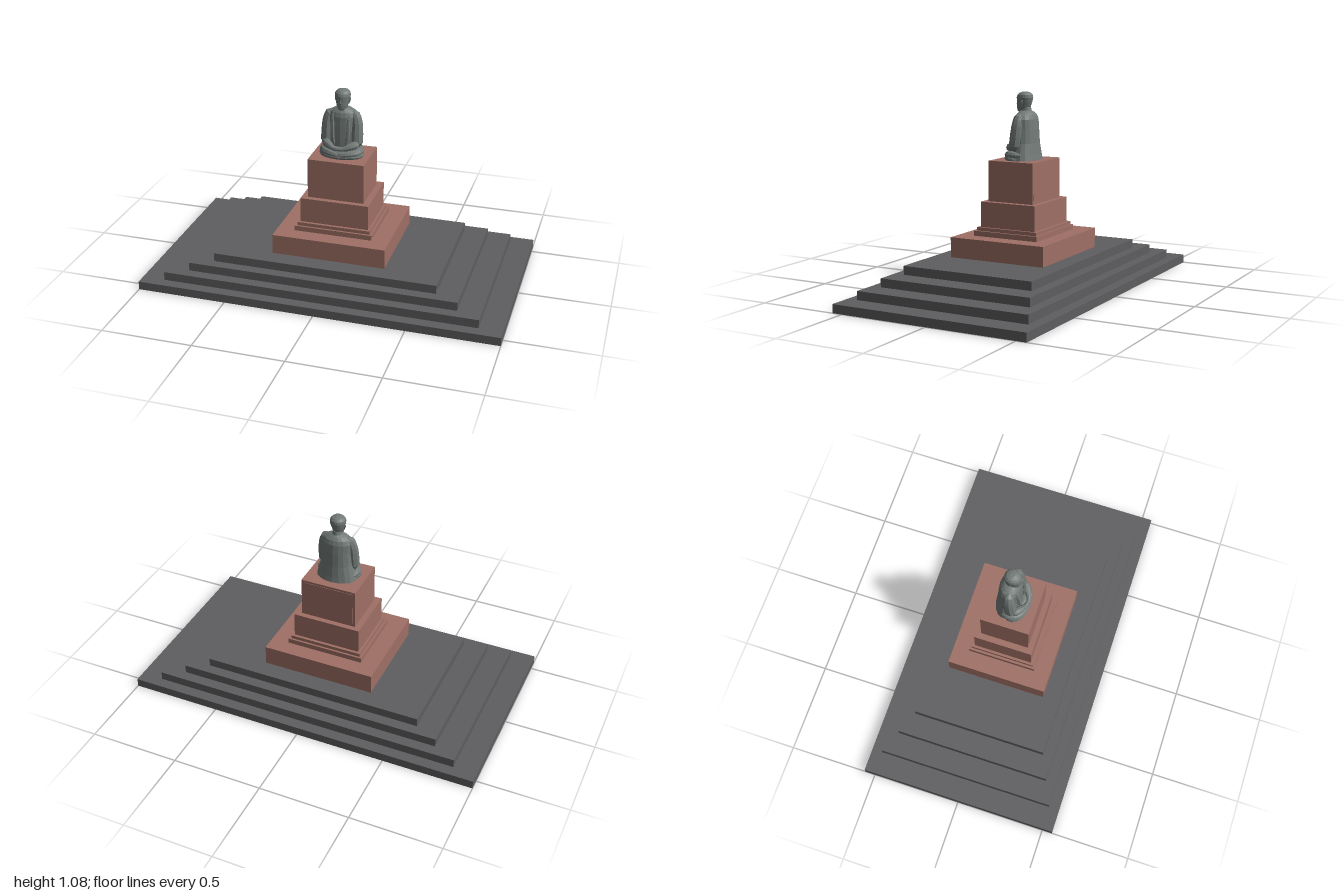
import * as THREE from 'three';

const stone = new THREE.MeshStandardMaterial({ color: 0x5e5e60 });
stone.name = 'dark stone';
const brick = new THREE.MeshStandardMaterial({ color: 0x9f7065 });
brick.name = 'red stone';
const bronze = new THREE.MeshStandardMaterial({ color: 0x737b78 });
bronze.name = 'grey bronze';
bronze.flatShading = true;

function add(parent, name, geometry, material) {
  const mesh = new THREE.Mesh(geometry, material);
  mesh.name = name;
  parent.add(mesh);
  return mesh;
}

// Block given by half widths and its bottom and top heights
function block(parent, name, hx, hz, y0, y1, material) {
  const g = new THREE.BoxGeometry(hx * 2, y1 - y0, hz * 2);
  g.translate(0, (y0 + y1) / 2, 0);
  return add(parent, name, g, material);
}

// Closed loft of oval rings: [y, half width, back z, front z]
function loft(rings, sides = 18) {
  const pos = [], index = [];
  rings.forEach(([y, rx, zb, zf]) => {
    for (let i = 0; i < sides; i++) {
      const a = (i / sides) * Math.PI * 2;
      pos.push(Math.sin(a) * rx, y, (zb + zf) / 2 + Math.cos(a) * (zf - zb) / 2);
    }
  });
  for (let r = 0; r < rings.length - 1; r++) {
    for (let i = 0; i < sides; i++) {
      const a = r * sides + i, b = r * sides + (i + 1) % sides;
      index.push(a, b, b + sides, a, b + sides, a + sides);
    }
  }
  const last = (rings.length - 1) * sides;
  for (let i = 1; i < sides - 1; i++) {
    index.push(0, i + 1, i, last, last + i, last + i + 1);
  }
  const g = new THREE.BufferGeometry();
  g.setAttribute('position', new THREE.Float32BufferAttribute(pos, 3));
  g.setIndex(index);
  g.computeVertexNormals();
  return g;
}

// Tapered limb along points [x, y, z, radius]; side -1 mirrors it
function limb(points, side = 1, segs = 14, sides = 9) {
  const curve = new THREE.CatmullRomCurve3(points.map(p => new THREE.Vector3(p[0] * side, p[1], p[2])));
  const g = new THREE.TubeGeometry(curve, segs, 1, sides);
  const pos = g.attributes.position, v = new THREE.Vector3();
  for (let i = 0; i < pos.count; i++) {
    const u = Math.floor(i / (sides + 1)) / segs;
    const c = curve.getPointAt(u);
    const t = curve.getUtoTmapping(u) * (points.length - 1);
    const k = Math.min(Math.floor(t), points.length - 2);
    const r = THREE.MathUtils.lerp(points[k][3], points[k + 1][3], t - k);
    v.fromBufferAttribute(pos, i).sub(c).multiplyScalar(r).add(c);
    pos.setXYZ(i, v.x, v.y, v.z);
  }
  g.computeVertexNormals();
  return g;
}

function buildStatue() {
  const statue = new THREE.Group();
  statue.name = 'seatedFigure';

  // Robed torso, flaring over the seat at the back
  add(statue, 'torso', loft([
    [0.706, 0.113, -0.092, 0.05], [0.74, 0.106, -0.087, 0.05], [0.80, 0.09, -0.081, 0.05],
    [0.88, 0.084, -0.077, 0.047], [0.93, 0.086, -0.072, 0.044], [0.953, 0.074, -0.064, 0.037],
    [0.967, 0.05, -0.052, 0.027], [0.976, 0.027, -0.042, 0.02], [0.995, 0.025, -0.038, 0.02],
  ]), bronze);

  // Head, narrow at the chin and broad at the brow
  add(statue, 'head', loft([
    [0.968, 0.012, 0.008, 0.036], [0.975, 0.023, -0.02, 0.04], [0.992, 0.031, -0.034, 0.042],
    [1.02, 0.038, -0.044, 0.042], [1.045, 0.043, -0.05, 0.042], [1.06, 0.041, -0.048, 0.037],
    [1.071, 0.031, -0.037, 0.026], [1.077, 0.012, -0.018, 0.008],
  ]), bronze);
  add(statue, 'nose', limb([[0, 1.03, 0.04, 0.002], [0, 1.01, 0.041, 0.006], [0, 1.005, 0.039, 0.001]], 1, 5, 6), bronze);

  // Lap robe
  add(statue, 'lap', loft([
    [0.706, 0.12, -0.055, 0.092], [0.718, 0.123, -0.052, 0.097], [0.738, 0.116, -0.045, 0.09],
    [0.755, 0.1, -0.03, 0.075], [0.765, 0.075, -0.02, 0.06],
  ]), bronze);

  for (const side of [1, -1]) {
    const tag = side > 0 ? 'left' : 'right';
    // Sleeved upper arm hanging from the shoulder
    add(statue, tag + 'Sleeve', limb([
      [0.045, 0.958, -0.008, 0.004], [0.068, 0.94, -0.004, 0.026], [0.079, 0.9, 0, 0.031],
      [0.082, 0.84, 0.006, 0.034], [0.083, 0.785, 0.012, 0.034], [0.082, 0.755, 0.015, 0.01],
    ], side), bronze);
    // Forearm reaching to the lap
    add(statue, tag + 'Forearm', limb([
      [0.092, 0.785, 0.015, 0.012], [0.082, 0.78, 0.038, 0.024], [0.055, 0.772, 0.06, 0.02],
      [0.028, 0.764, 0.075, 0.013], [-0.004, 0.762, 0.082, 0.009], [-0.012, 0.762, 0.082, 0.001],
    ], side), bronze);
    // Folded leg
    add(statue, tag + 'Leg', limb([
      [0.1, 0.738, -0.035, 0.005], [0.102, 0.737, 0.0, 0.02], [0.09, 0.736, 0.042, 0.024],
      [0.045, 0.732, 0.07, 0.021], [0, 0.727, 0.079, 0.016], [-0.02, 0.725, 0.077, 0.002],
    ], side), bronze);
    // Robe edge from shoulder to waist
    add(statue, tag + 'RobeEdge', limb([
      [0.03, 0.968, 0, 0.004], [0.042, 0.94, 0.028, 0.009], [0.044, 0.88, 0.041, 0.01],
      [0.04, 0.81, 0.046, 0.01], [0.03, 0.775, 0.05, 0.003],
    ], side, 10, 6), bronze);
    // Ear
    add(statue, tag + 'Ear', limb([
      [0.037, 1.04, -0.006, 0.002], [0.04, 1.025, -0.005, 0.006], [0.034, 1.0, -0.002, 0.002],
    ], side, 5, 6), bronze);
  }
  return statue;
}

export function createModel() {
  const model = new THREE.Group();
  model.name = 'monument';

  // Stepped platform
  [[1, 0.557], [0.873, 0.497], [0.748, 0.438], [0.622, 0.38]].forEach(([hx, hz], i) =>
    block(model, 'step' + (i + 1), hx, hz, i * 0.0475, (i + 1) * 0.0475, stone));

  // Tiered pedestal
  block(model, 'plinth', 0.316, 0.281, 0.19, 0.3, brick);
  block(model, 'lowerMoulding', 0.218, 0.192, 0.3, 0.328, brick);
  block(model, 'upperMoulding', 0.205, 0.181, 0.328, 0.347, brick);
  block(model, 'lowerPedestal', 0.191, 0.165, 0.347, 0.486, brick);
  block(model, 'upperPedestal', 0.157, 0.136, 0.486, 0.708, brick);

  // Thin panel on the back of the pedestal
  const panel = block(model, 'backPanel', 0.145, 0.0015, 0.505, 0.695, brick);
  panel.position.z = -0.137;

  model.add(buildStatue());
  return model;
}
